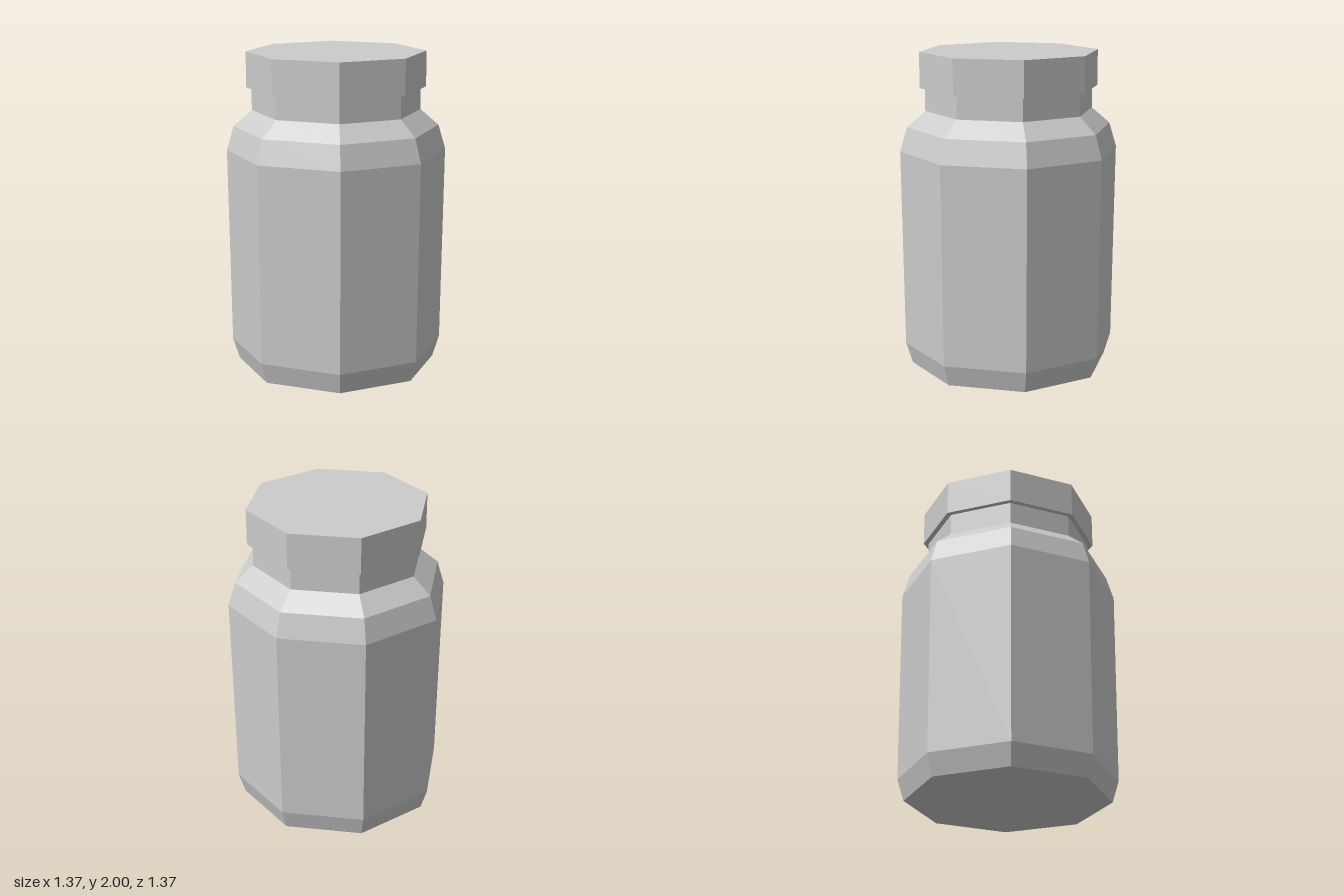
import * as THREE from 'three';

const SIDES = 8;

export function createModel() {
  const model = new THREE.Group();
  model.name = 'jar';
  const material = new THREE.MeshStandardMaterial({ color: 0xcccccc, flatShading: true });

  // Eight-sided part turned from a bottom-to-top profile of [radius, height]
  function addTurned(name, profile) {
    const points = profile.map(([r, y]) => new THREE.Vector2(r, y));
    const mesh = new THREE.Mesh(new THREE.LatheGeometry(points, SIDES), material);
    mesh.name = name;
    model.add(mesh);
  }

  // Body: closed base, bevelled foot, slightly flared wall, two-step shoulder, neck
  addTurned('body', [
    [0, 0], [0.63, 0], [0.672, 0.135], [0.686, 1.385],
    [0.641, 1.535], [0.526, 1.635], [0.526, 1.78],
  ]);

  // Lid: closed prism overhanging the neck
  addTurned('lid', [[0, 1.777], [0.559, 1.777], [0.559, 2], [0, 2]]);

  return model;
}
